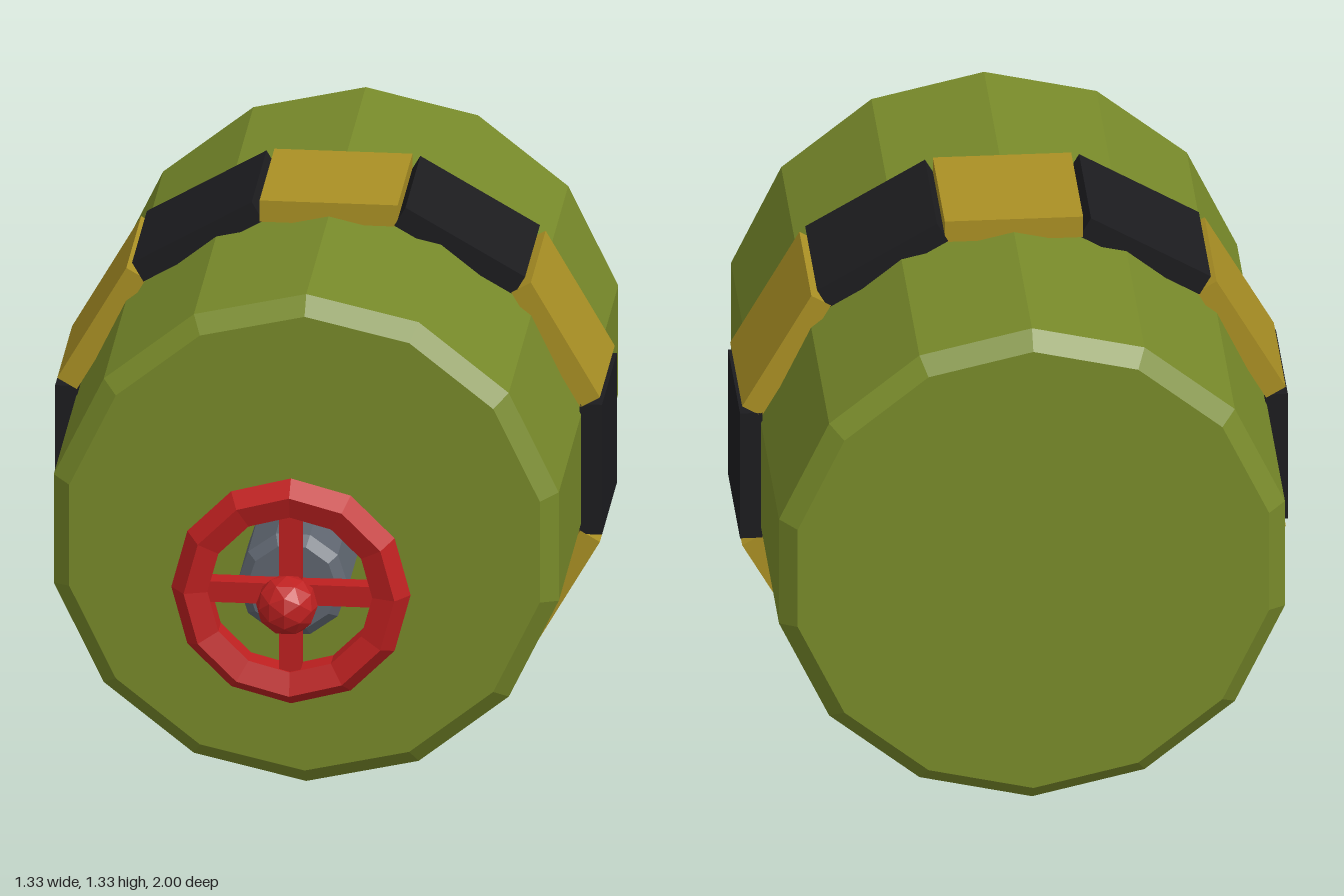
import * as THREE from 'three';

const CY = 0.67; // height of the main axis

function material(color) {
  return new THREE.MeshStandardMaterial({ color, flatShading: true });
}

const GREEN = material(0x788a2a);
const YELLOW = material(0xaa9024);
const BLACK = material(0x1c1c1f);
const RED = material(0xbe2020);
const STEEL = material(0x5f6670);

function add(parent, name, geometry, mat, x = 0, y = 0, z = 0) {
  const mesh = new THREE.Mesh(geometry, mat);
  mesh.name = name;
  mesh.position.set(x, y, z);
  parent.add(mesh);
  return mesh;
}

// Closed drum along z with chamfered ends
function drum(radius, z0, z1, bevel, sides, turn) {
  const profile = [
    [0, z0], [radius - bevel, z0], [radius, z0 + bevel],
    [radius, z1 - bevel], [radius - bevel, z1], [0, z1],
  ].map(([r, z]) => new THREE.Vector2(r, z));
  return new THREE.LatheGeometry(profile, sides, turn).rotateX(Math.PI / 2);
}

export function createModel() {
  const model = new THREE.Group();
  const axis = new THREE.Group();
  axis.name = 'canister';
  axis.position.y = CY;
  model.add(axis);

  // Body and valve stem
  add(axis, 'body', drum(0.63, -1, 0.505, 0.043, 14, 0), GREEN);
  add(axis, 'valveStem', drum(0.135, 0.5, 0.805, 0.025, 10, Math.PI / 2), STEEL);

  // Hazard band of alternating plates
  const band = new THREE.Group();
  band.name = 'hazardBand';
  axis.add(band);
  const plate = new THREE.BoxGeometry(0.055, 0.336, 0.355);
  for (let i = 0; i < 12; i++) {
    const a = (i * Math.PI) / 6;
    const mesh = add(band, i % 2 ? 'yellowPlate' : 'blackPlate', plate, i % 2 ? YELLOW : BLACK,
      0.6375 * Math.cos(a), 0.6375 * Math.sin(a), -0.2475);
    mesh.rotation.z = a;
  }

  // Hand wheel with crossed spokes and a centre knob
  const wheel = new THREE.Group();
  wheel.name = 'handWheel';
  wheel.position.z = 0.828;
  axis.add(wheel);
  add(wheel, 'rim', new THREE.TorusGeometry(0.241, 0.05, 5, 12), RED);
  add(wheel, 'spokeAcross', new THREE.BoxGeometry(0.46, 0.053, 0.05), RED);
  add(wheel, 'spokeUpright', new THREE.BoxGeometry(0.053, 0.46, 0.05), RED);
  add(wheel, 'knob', new THREE.IcosahedronGeometry(0.075, 1), RED, 0, 0, 0.097);

  return model;
}
